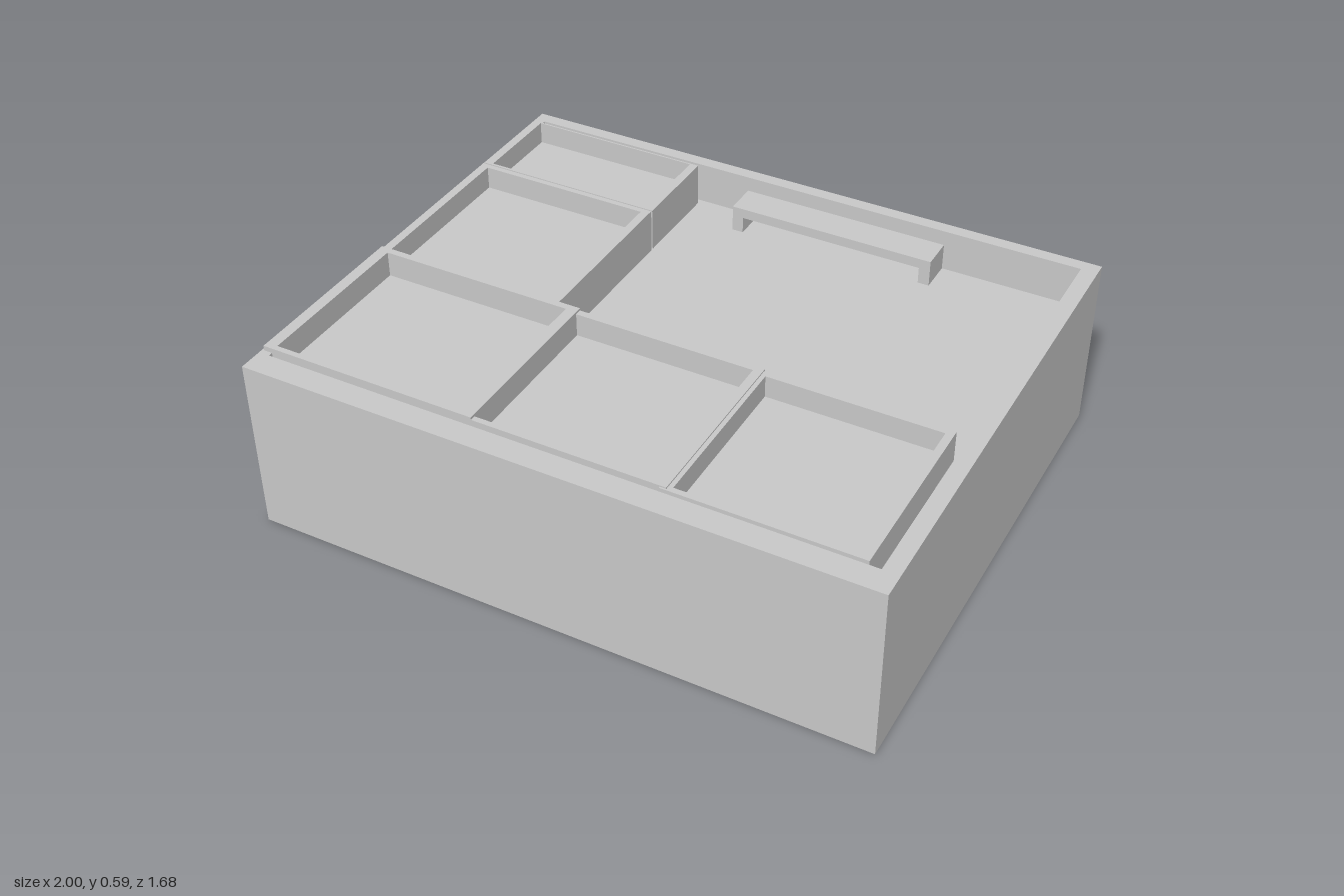
import * as THREE from 'three';

const grey = new THREE.MeshStandardMaterial({ color: 0xc8c8c8 });
grey.name = 'lightGrey';

// Solid block between two corners
function block(name, [x0, x1], [y0, y1], [z0, z1]) {
  const mesh = new THREE.Mesh(new THREE.BoxGeometry(x1 - x0, y1 - y0, z1 - z0), grey);
  mesh.position.set((x0 + x1) / 2, (y0 + y1) / 2, (z0 + z1) / 2);
  mesh.name = name;
  return mesh;
}

// Rectangle in plan; shape y is -z
function rectangle(path, [x0, x1], [z0, z1]) {
  path.moveTo(x0, -z1);
  path.lineTo(x1, -z1);
  path.lineTo(x1, -z0);
  path.lineTo(x0, -z0);
  path.closePath();
  return path;
}

// Open-topped box: a base slab with a ring of walls above it
function openBox(name, { outX, outZ, inX, inZ, base, floor, top }) {
  const group = new THREE.Group();
  group.name = name;
  group.add(block(name + 'Base', outX, [base, floor], outZ));
  const ring = rectangle(new THREE.Shape(), outX, outZ);
  ring.holes.push(rectangle(new THREE.Path(), inX, inZ));
  const geometry = new THREE.ExtrudeGeometry(ring, { depth: top - floor, bevelEnabled: false });
  geometry.rotateX(-Math.PI / 2);
  const walls = new THREE.Mesh(geometry, grey);
  walls.position.y = floor;
  walls.name = name + 'Walls';
  group.add(walls);
  return group;
}

export function createModel() {
  const model = new THREE.Group();
  model.name = 'organiserDrawer';
  const floor = 0.44;

  // Outer case
  model.add(openBox('case', {
    outX: [-1, 1], outZ: [-0.8, 0.838], inX: [-0.965, 0.947], inZ: [-0.758, 0.759],
    base: 0, floor, top: 0.578,
  }));

  // Small trays along the front and the right side
  const trays = [
    ['frontRightTray', [-0.993, -0.285], [0.157, 0.745], [-0.957, -0.32], [0.179, 0.727], 0.594],
    ['frontMiddleTray', [-0.3, 0.325], [0.157, 0.745], [-0.285, 0.297], [0.179, 0.727], 0.586],
    ['frontLeftTray', [0.305, 0.91], [0.164, 0.75], [0.339, 0.885], [0.184, 0.732], 0.582],
    ['sideTray', [-0.993, -0.362], [-0.418, 0.157], [-0.965, -0.39], [-0.4, 0.15], 0.586],
    ['backTray', [-0.993, -0.362], [-0.738, -0.425], [-0.965, -0.39], [-0.733, -0.433], 0.584],
  ];
  for (const [name, outX, outZ, inX, inZ, top] of trays) {
    model.add(openBox(name, { outX, outZ, inX, inZ, base: floor, floor: 0.51, top }));
  }

  // Bridge-shaped handle inside the back wall and its plate outside
  const handle = new THREE.Group();
  handle.name = 'handle';
  const depth = [-0.758, -0.648];
  handle.add(
    block('handleBar', [-0.187, 0.503], [0.495, 0.528], depth),
    block('handleLegRight', [-0.187, -0.15], [floor, 0.495], depth),
    block('handleLegLeft', [0.466, 0.503], [floor, 0.495], depth),
    block('handlePlate', [-0.187, 0.503], [0.345, 0.528], [-0.838, -0.8]),
  );
  model.add(handle);

  return model;
}
